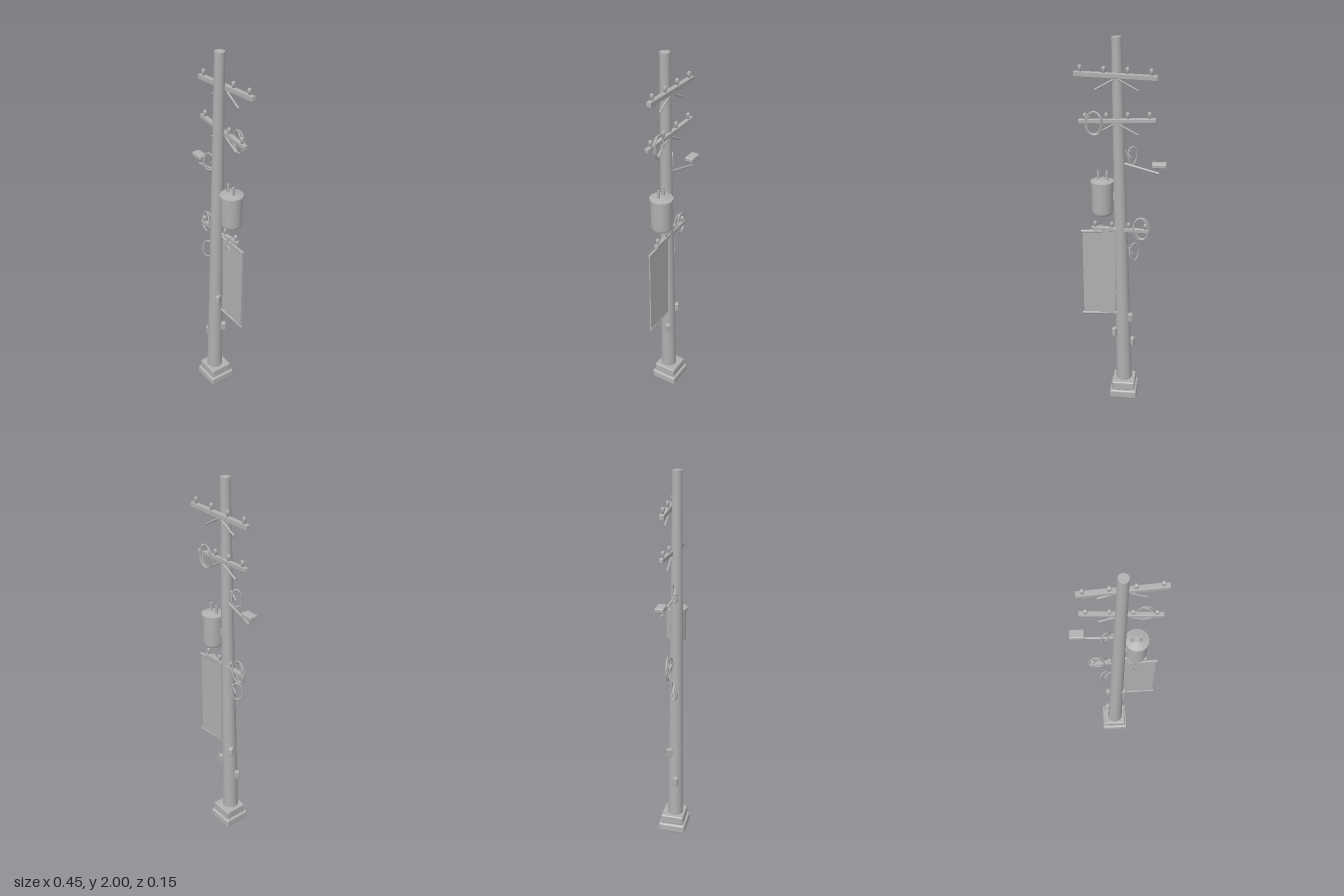
import * as THREE from 'three';
import { RoundedBoxGeometry } from 'three/addons/geometries/RoundedBoxGeometry.js';

const V = (x, y, z) => new THREE.Vector3(x, y, z);
const grey = new THREE.MeshStandardMaterial({ color: 0xb0b0b0 });
grey.name = 'weatheredGrey';

function add(parent, name, geometry, x = 0, y = 0, z = 0) {
  const mesh = new THREE.Mesh(geometry, grey);
  mesh.name = name;
  mesh.position.set(x, y, z);
  parent.add(mesh);
  return mesh;
}

// Round bar between two points
function rod(parent, name, a, b, r0, r1 = r0, sides = 8) {
  const d = b.clone().sub(a);
  const mesh = add(parent, name, new THREE.CylinderGeometry(r1, r0, d.length(), sides));
  mesh.position.copy(a).add(b).multiplyScalar(0.5);
  mesh.quaternion.setFromUnitVectors(V(0, 1, 0), d.normalize());
  return mesh;
}

// Elliptical loop of cable
function cableLoop(parent, name, x, y, z, rx, ry, yaw = 0, roll = 0) {
  const pts = [];
  for (let i = 0; i < 10; i++) {
    const t = (i / 10) * Math.PI * 2;
    pts.push(V(Math.cos(t) * rx, Math.sin(t) * ry, Math.sin(t * 2) * 0.003));
  }
  const curve = new THREE.CatmullRomCurve3(pts, true);
  const mesh = add(parent, name, new THREE.TubeGeometry(curve, 20, 0.0045, 6, true), x, y, z);
  mesh.rotation.set(0, yaw, roll);
  return mesh;
}

// Crossarm with four insulators and two drooping braces
function crossarm(parent, name, a, b, thick, inset, braceY) {
  const arm = new THREE.Group();
  arm.name = name;
  const d = b.clone().sub(a);
  const beam = add(arm, 'crossarmBeam', new RoundedBoxGeometry(d.length(), thick, thick, 1, 0.003));
  beam.position.copy(a).add(b).multiplyScalar(0.5);
  beam.quaternion.setFromUnitVectors(V(1, 0, 0), d.clone().normalize());
  const profile = [[0, 0], [0.007, 0], [0.007, 0.013], [0.01, 0.016], [0.01, 0.027], [0.006, 0.032], [0, 0.033]]
    .map(([r, y]) => new THREE.Vector2(r, y));
  for (let i = 0; i < 4; i++) {
    const p = a.clone().lerp(b, inset + (i / 3) * (1 - 2 * inset));
    add(arm, 'insulator', new THREE.LatheGeometry(profile, 10), p.x, p.y + thick / 2 - 0.002, p.z);
  }
  if (braceY) {
    const z = (a.z + b.z) / 2;
    rod(arm, 'rightBrace', V(0.01, braceY + 0.05, z), V(-0.085, braceY, z), 0.005);
    rod(arm, 'leftBrace', V(0.035, braceY + 0.05, z), V(0.125, braceY, z), 0.005);
  }
  parent.add(arm);
}

export function createModel() {
  const model = new THREE.Group();
  model.name = 'utilityPole';

  // Stepped plinth
  add(model, 'lowerPlinth', new RoundedBoxGeometry(0.15, 0.05, 0.15, 2, 0.01), -0.017, 0.025, 0.001);
  add(model, 'upperPlinth', new RoundedBoxGeometry(0.126, 0.052, 0.126, 2, 0.008), -0.017, 0.074, 0.001);

  // Leaning, tapered pole
  rod(model, 'pole', V(-0.017, 0.08, 0.008), V(0.023, 2, 0.005), 0.044, 0.0245, 16);

  // Crossarms
  crossarm(model, 'topCrossarm', V(-0.175, 1.817, -0.021), V(0.222, 1.834, -0.037), 0.025, 0.075, 1.757);
  crossarm(model, 'middleCrossarm', V(-0.172, 1.615, -0.026), V(0.208, 1.597, -0.012), 0.022, 0.085, 1.538);
  crossarm(model, 'lowerCrossarm', V(-0.145, 1.022, -0.006), V(0.152, 1.035, -0.02), 0.021, 0.065, 0);

  // Coiled and hanging cables
  cableLoop(model, 'middleCoil', 0.13, 1.592, -0.03, 0.041, 0.059, 0.1);
  cableLoop(model, 'middleCoilInner', 0.13, 1.592, -0.026, 0.036, 0.055, -0.15, 0.15);
  cableLoop(model, 'lowerCoil', -0.105, 1.035, -0.012, 0.042, 0.062, 0.15);
  cableLoop(model, 'lowerCoilInner', -0.105, 1.035, -0.006, 0.037, 0.058, -0.2, -0.15);
  cableLoop(model, 'upperHangingLoop', -0.056, 1.422, 0.012, 0.026, 0.047, 0.7);
  rod(model, 'upperLoopTie', V(-0.05, 1.41, 0.012), V(0, 1.47, 0.005), 0.005);
  cableLoop(model, 'lowerHangingLoop', -0.068, 0.892, 0.01, 0.03, 0.05, 0.7);
  rod(model, 'lowerLoopTie', V(-0.06, 0.88, 0.005), V(-0.02, 0.94, 0.005), 0.005);
  cableLoop(model, 'leftHangingLoop', 0.098, 0.998, -0.004, 0.018, 0.05, 0.5, -0.15);
  rod(model, 'leftLoopTie', V(0.1, 0.97, -0.008), V(0.03, 1.045, -0.004), 0.005);

  // Street lamp on a slanted arm
  rod(model, 'lampArm', V(0, 1.388, 0), V(-0.19, 1.345, -0.022), 0.007, 0.006);
  add(model, 'lampHead', new RoundedBoxGeometry(0.073, 0.024, 0.046, 2, 0.006), -0.191, 1.389, -0.023);

  // Transformer can with lid and bushings
  const can = [[0, 1.117], [0.046, 1.117], [0.052, 1.122], [0.054, 1.135], [0.054, 1.284]]
    .map(([r, y]) => new THREE.Vector2(r, y));
  add(model, 'transformerBody', new THREE.LatheGeometry(can, 16), 0.095, 0, -0.018);
  add(model, 'transformerRim', new THREE.CylinderGeometry(0.06, 0.06, 0.012, 16), 0.095, 1.289, -0.018);
  add(model, 'transformerLid', new THREE.CylinderGeometry(0.015, 0.056, 0.01, 16), 0.095, 1.3, -0.018);
  for (const x of [0.071, 0.114]) {
    add(model, 'bushing', new THREE.CylinderGeometry(0.0065, 0.008, 0.05, 8), x, 1.321, -0.014);
  }
  add(model, 'transformerBracket', new THREE.BoxGeometry(0.05, 0.03, 0.025), 0.035, 1.21, -0.005);

  // Banner between two rods
  add(model, 'bannerCloth', new THREE.BoxGeometry(0.17, 0.49, 0.007), 0.117, 0.77, -0.013);
  for (const y of [1.014, 0.525]) {
    rod(model, 'bannerRod', V(0, y + 0.004, -0.008), V(0.208, y - 0.004, -0.014), 0.0075);
  }

  // Small junction boxes on the shaft
  for (const [x, y, z, yaw] of [
    [0.034, 0.615, 0.02, 0.5], [0.034, 0.41, -0.016, -0.5],
    [-0.052, 0.505, -0.018, 0.6], [-0.06, 0.33, 0.018, -0.4],
  ]) {
    const box = add(model, 'junctionBox', new RoundedBoxGeometry(0.026, 0.05, 0.03, 1, 0.006), x, y, z);
    box.rotation.y = yaw;
  }
  return model;
}
